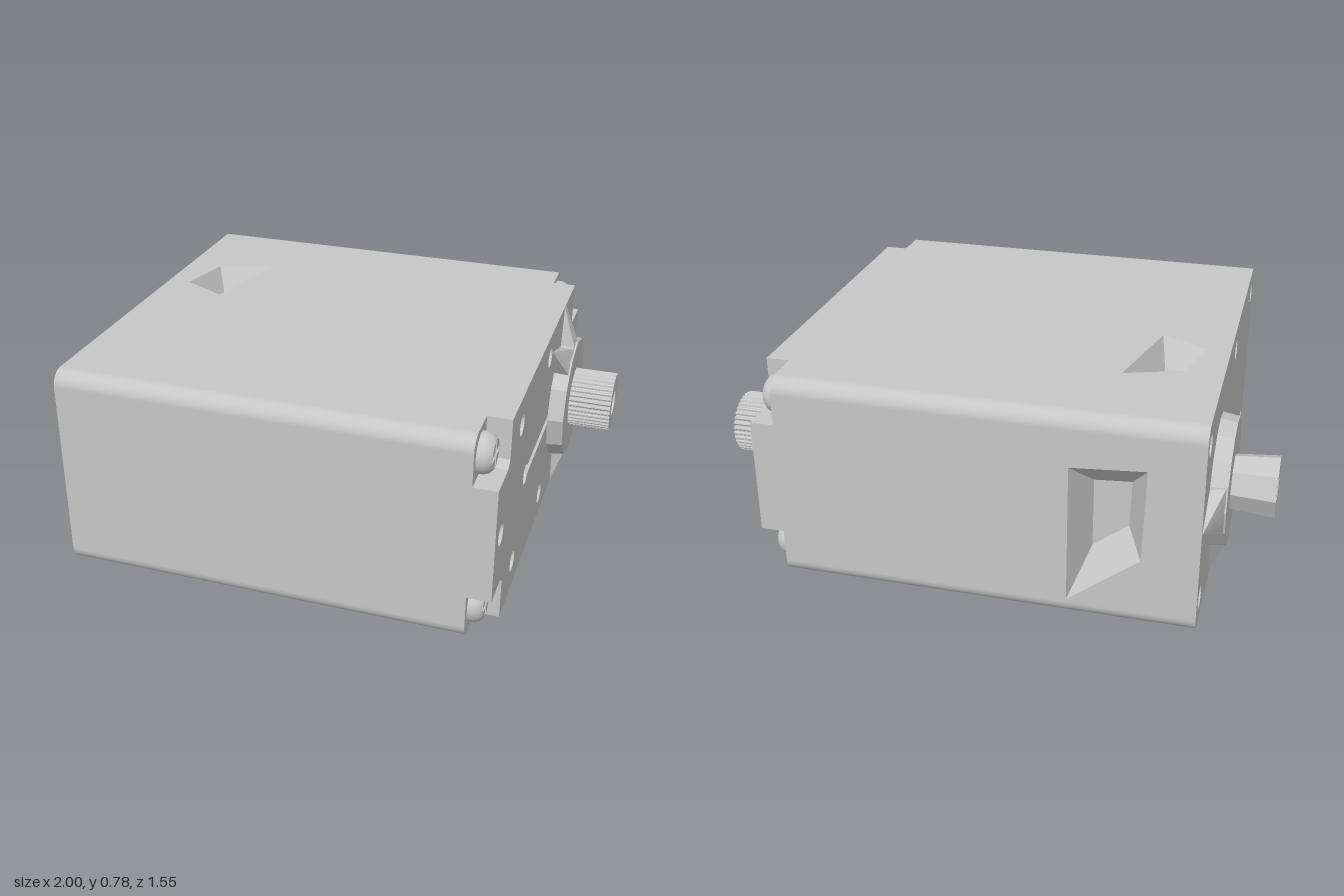
import * as THREE from 'three';
import { toCreasedNormals } from 'three/addons/utils/BufferGeometryUtils.js';
import { ConvexGeometry } from 'three/addons/geometries/ConvexGeometry.js';

const X0 = -0.785, X1 = 0.695, X2 = 0.78;      // plain end, body end, cap face
const Y0 = 0.008, Y1 = 0.78, Z = 0.775, R = 0.055;
const AXIS_Y = 0.398, AXIS_Z = -0.388;         // output shaft axis
const Q = Math.PI / 2;

const vec = ([x, y]) => new THREE.Vector2(x, y);
const arc = (u, v, r, a = 0, b = Math.PI * 2, n = 24) =>
  Array.from({ length: n }, (_, i) => {
    const t = a + (b - a) * i / (b - a > 6.28 ? n : n - 1);
    return new THREE.Vector2(u + r * Math.cos(t), v + r * Math.sin(t));
  });

// Flat panel in (u, v) facing +w, with sunken pockets
function panel(outline, pockets = []) {
  const shape = new THREE.Shape(outline);
  const pos = [];
  const tri = (...p) => p.forEach((q) => pos.push(...q));
  for (const { points, depth, inset = 1 } of pockets) {
    const pts = THREE.ShapeUtils.isClockWise(points) ? [...points].reverse() : points;
    shape.holes.push(new THREE.Path(pts));
    const c = pts.reduce((s, p) => s.add(p), new THREE.Vector2()).divideScalar(pts.length);
    const top = pts.map((p) => [p.x, p.y, 0]);
    const low = pts.map((p) => [c.x + (p.x - c.x) * inset, c.y + (p.y - c.y) * inset, -depth]);
    pts.forEach((_, i) => {
      const j = (i + 1) % pts.length;
      tri(top[i], top[j], low[j]);
      tri(top[i], low[j], low[i]);
      tri([c.x, c.y, -depth], low[i], low[j]);
    });
  }
  const flat = new THREE.ShapeGeometry(shape).toNonIndexed();
  pos.push(...flat.attributes.position.array);
  const geo = new THREE.BufferGeometry();
  geo.setAttribute('position', new THREE.Float32BufferAttribute(pos, 3));
  geo.computeVertexNormals();
  return geo;
}

const rect = (u0, u1, v0, v1) => [[u0, v0], [u1, v0], [u1, v1], [u0, v1]].map(vec);

export function createModel() {
  const gray = new THREE.MeshStandardMaterial({ color: 0xc6c6c6 });
  gray.name = 'grayPlastic';
  const model = new THREE.Group();
  model.name = 'servoMotor';

  const add = (name, geo, parent = model) => {
    const mesh = new THREE.Mesh(geo, gray);
    mesh.name = name;
    parent.add(mesh);
    return mesh;
  };

  // Case: flat walls with pockets, joined by rounded long edges
  const body = new THREE.Group();
  body.name = 'case';
  model.add(body);
  const zi = Z - R;

  const topPocket = [[-0.444, 0.42], [-0.652, 0.347], [-0.70, 0.144], [-0.53, 0.06]].map(vec);
  add('topWall', panel(rect(X0, X1, -zi, zi), [{ points: topPocket, depth: 0.1, inset: 0.5 }])
    .rotateX(-Q).translate(0, Y1, 0), body);

  const lowPocket = [[-0.43, -0.61], [-0.44, 0], [-0.64, 0.04], [-0.75, -0.13], [-0.625, -0.366]].map(vec);
  add('bottomWall', panel(rect(X0, X1, -zi, zi), [{ points: lowPocket, depth: 0.12, inset: 0.5 }])
    .rotateX(Q).translate(0, Y0, 0), body);

  const backPocket = [[0.34, 0.59], [0.6, 0.61], [0.59, 0.27], [0.34, 0.075]].map(vec);
  add('backWall', panel(rect(-X1, -X0, Y0 + R, Y1 - R), [{ points: backPocket, depth: 0.12, inset: 0.5 }])
    .rotateY(Math.PI).translate(0, 0, -Z), body);

  add('frontWall', panel(rect(X0, X1, Y0 + R, Y1 - R)).translate(0, 0, Z), body);

  [[1, 1], [1, -1], [-1, -1], [-1, 1]].forEach(([sy, sz], i) => {
    const edge = new THREE.CylinderGeometry(R, R, X1 - X0, 10, 1, true, i * Q, Q).rotateZ(Q);
    add('roundedEdge', edge.translate((X0 + X1) / 2, sy > 0 ? Y1 - R : Y0 + R, sz * zi), body);
  });

  const endOutline = [
    ...arc(zi, Y1 - R, R, 0, Q, 11), ...arc(-zi, Y1 - R, R, Q, 2 * Q, 11),
    ...arc(-zi, Y0 + R, R, 2 * Q, 3 * Q, 11), ...arc(zi, Y0 + R, R, 3 * Q, 4 * Q, 11),
  ];
  const screwHoles = [[-0.69, 0.69], [-0.69, 0.105], [0.69, 0.69], [0.69, 0.105], [0.09, 0.69], [0.09, 0.105]]
    .map(([u, v]) => ({ points: arc(u, v, 0.042), depth: 0.1 }));
  add('plainEndWall', panel(endOutline, screwHoles).rotateY(-Q).translate(X0, 0, 0), body);
  add('capEndWall', panel(endOutline).rotateY(Q).translate(X1, 0, 0), body);

  // Slight raised lip beside the bottom pocket
  add('bottomLip', new THREE.BoxGeometry(0.27, 0.009, 0.07).translate(-0.58, 0.0045, 0.085));

  // Cap: plus-shaped plate with corner notches, holes and a keyhole slot
  const n = 0.607, lo = 0.185, hi = 0.61, c = 0.025;
  const cap = new THREE.Shape([
    [-n, Y0], [n, Y0], [n, lo - c], [n + c, lo], [Z, lo], [Z, hi], [n + c, hi], [n, hi + c],
    [n, Y1], [-n, Y1], [-n, hi + c], [-n - c, hi], [-Z, hi], [-Z, lo], [-n - c, lo], [-n, lo - c],
  ].map(vec));
  for (const [z, y] of [[0.424, 0.67], [0.687, 0.397], [0.424, 0.123], [-0.094, 0.69], [-0.094, 0.105]])
    cap.holes.push(new THREE.Path(arc(-z, y, 0.04)));
  cap.holes.push(new THREE.Path([
    ...arc(-0.278, AXIS_Y, 0.04, 0.5, Math.PI * 2 - 0.5, 20),
    ...[[0.18, AXIS_Y - 0.019], [0.18, AXIS_Y + 0.019]].map(vec),
  ]));
  add('cap', toCreasedNormals(new THREE.ExtrudeGeometry(cap, { depth: X2 - X1, bevelEnabled: false }), 0.6)
    .rotateY(Q).translate(X1, 0, 0));

  // Cross-head screws in the cap notches: domed rim around a disc with a sunken cross
  const a = 0.01, b = 0.046;
  const cross = [
    [b, a], [a, a], [a, b], [-a, b], [-a, a], [-b, a], [-b, -a], [-a, -a], [-a, -b], [a, -b], [a, -a], [b, -a],
  ].map(vec);
  const disc = panel(arc(0, 0, 0.05, 0, Math.PI * 2, 28), [{ points: cross, depth: 0.03, inset: 0.8 }])
    .rotateY(Q).translate(0.05, 0, 0);
  const rim = new THREE.LatheGeometry([[0.07, 0], [0.07, 0.02], [0.064, 0.037], [0.05, 0.05]].map(vec), 28)
    .rotateZ(-Q);
  for (const y of [0.688, 0.108]) for (const z of [0.68, -0.68]) {
    const screw = new THREE.Group();
    screw.name = 'screw';
    screw.position.set(X1, y, z);
    add('screwRim', rim, screw);
    add('screwFace', disc, screw);
    model.add(screw);
  }

  // Lathe-turned part on the shaft axis, pointing along +x (dir 1) or -x (dir -1)
  const turned = (name, profile, sides, x, dir) => add(name,
    toCreasedNormals(new THREE.LatheGeometry(profile.map(vec), sides), 0.1)
      .rotateZ(-dir * Q).translate(x, AXIS_Y, AXIS_Z));

  // Sloping facets from an arc of a boss rim down to tips [z, y] on the end face
  const rib = (x, dir, from, to, tips) => {
    const pts = tips.map(([z, y]) => new THREE.Vector3(x, y, z));
    for (let i = 0; i <= 4; i++) {
      const t = from + (to - from) * i / 4;
      for (const [r, h] of [[0.225, 0], [0.225, 0.055], [0.15, 0.03]])
        pts.push(new THREE.Vector3(x + dir * h, AXIS_Y + r * Math.sin(t), AXIS_Z + r * Math.cos(t)));
    }
    add('bossRib', new ConvexGeometry(pts));
  };

  // Splined output side
  turned('outputBoss', [[0.24, 0], [0.234, 0.06], [0, 0.06]], 12, X2, 1);
  rib(X2, 1, Q - 0.18, Q + 0.18, [[-0.372, 0.775], [-0.405, 0.775]]);
  rib(X2, 1, -Q - 0.15, -Q + 0.15, [[-0.375, 0.012], [-0.405, 0.012]]);
  rib(X2, 1, 0.8, 1.4, [[-0.14, 0.69]]);
  rib(X2, 1, Math.PI - 0.85, Math.PI + 0.6, [[-0.6, 0.585], [-0.77, 0.4], [-0.6, 0.245]]);
  const teeth = 36;
  const spline = new THREE.Shape(Array.from({ length: teeth * 4 }, (_, i) => {
    const r = i % 4 < 2 ? 0.114 : 0.108, t = i / (teeth * 4) * Math.PI * 2;
    return vec([r * Math.cos(t), r * Math.sin(t)]);
  }));
  spline.holes.push(new THREE.Path(arc(0, 0, 0.054)));
  add('splinedShaft', toCreasedNormals(new THREE.ExtrudeGeometry(spline, { depth: 0.16, bevelEnabled: false }), 0.4)
    .rotateY(Q).translate(0.84, AXIS_Y, AXIS_Z));

  // Plain idler side
  turned('idlerBoss', [[0.237, 0], [0.228, 0.06], [0, 0.06]], 16, X0, -1);
  rib(X0, -1, -Q - 0.5, -Q + 0.5, [[AXIS_Z, 0.015]]);
  rib(X0, -1, Math.PI - 0.4, Math.PI + 0.4, [[-0.765, AXIS_Y]]);
  rib(X0, -1, -0.4, 0.4, [[0.05, AXIS_Y]]);
  turned('idlerShaft', [[0.1, 0], [0.113, 0.155], [0.055, 0.155], [0.055, 0.03], [0, 0.03]], 8, -0.845, -1);

  return model;
}
